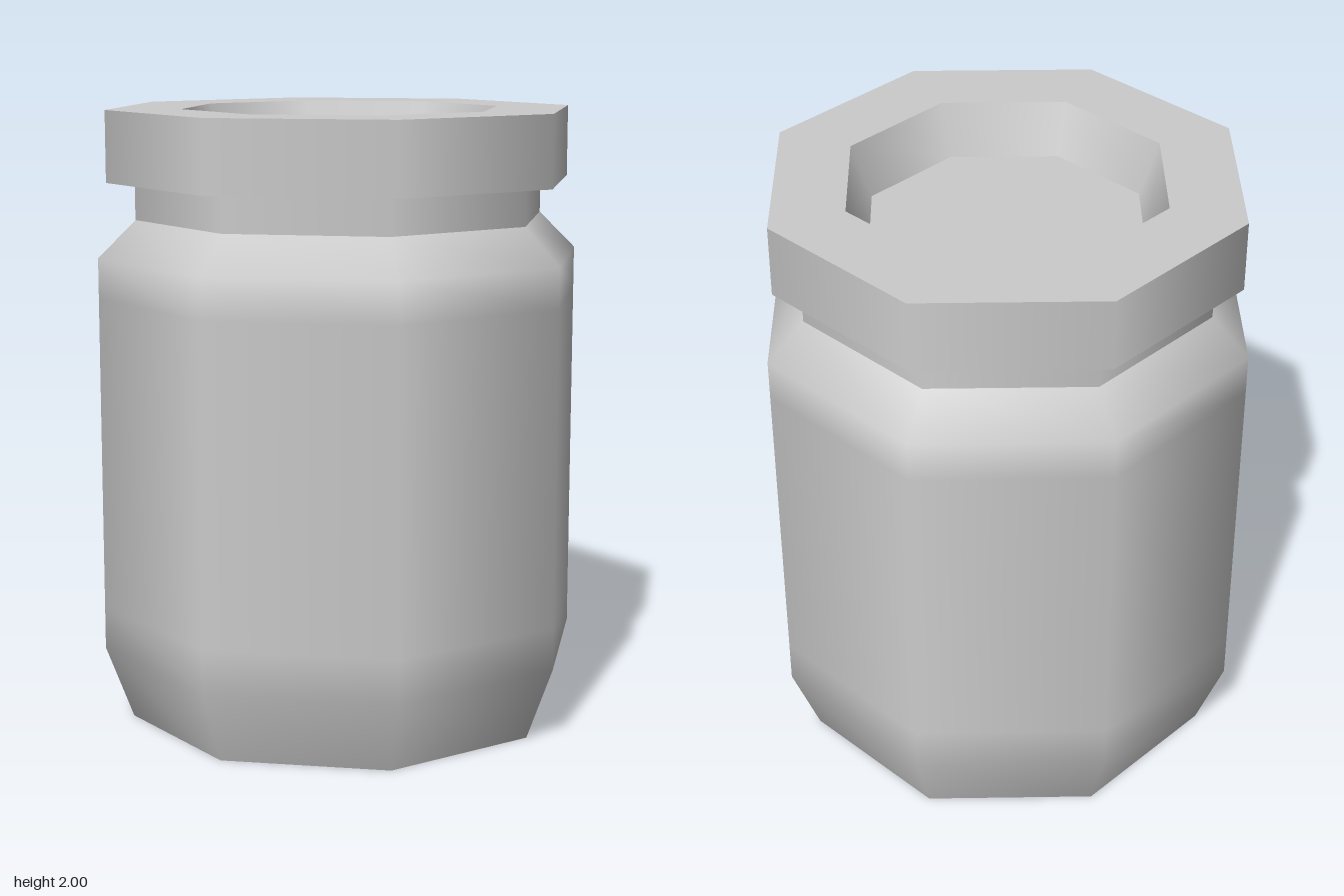
import * as THREE from 'three';
import { mergeGeometries } from 'three/addons/utils/BufferGeometryUtils.js';

const SIDES = 8;
const material = new THREE.MeshStandardMaterial({ color: 0xcccccc });

// Turns each [radius, y] section into an octagonal band: smooth within a section, sharp between sections
function turnedPart(name, sections) {
  const bands = sections.map(points =>
    new THREE.LatheGeometry(points.map(([r, y]) => new THREE.Vector2(r, y)), SIDES));
  const mesh = new THREE.Mesh(mergeGeometries(bands), material);
  mesh.name = name;
  return mesh;
}

export function createModel() {
  const jar = new THREE.Group();
  jar.name = 'jar';

  // Body: flat base, tapered foot, straight wall and sloping shoulder
  jar.add(turnedPart('body', [
    [[0, 0], [0.707, 0]],
    [[0.707, 0], [0.797, 0.24], [0.797, 0.38], [0.797, 1.4], [0.797, 1.53], [0.675, 1.65]],
  ]));

  // Neck between shoulder and lid
  jar.add(turnedPart('neck', [
    [[0.675, 1.65], [0.675, 1.77]],
  ]));

  // Lid: underside, outer wall, rim, recess wall and recess floor
  jar.add(turnedPart('lid', [
    [[0.675, 1.77], [0.767, 1.77]],
    [[0.767, 1.77], [0.767, 2]],
    [[0.767, 2], [0.522, 2]],
    [[0.522, 2], [0.456, 1.835]],
    [[0.456, 1.835], [0, 1.835]],
  ]));

  return jar;
}
